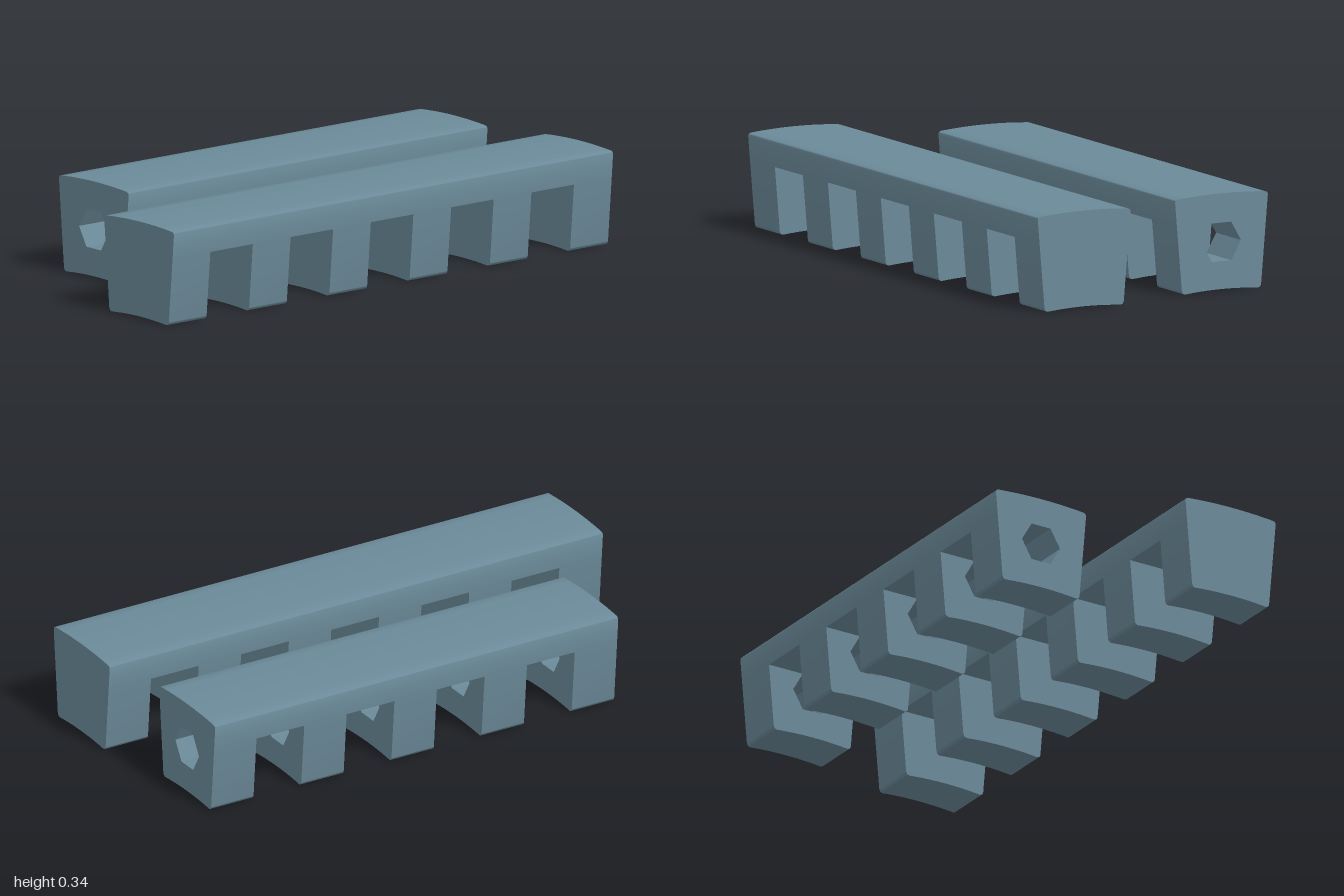
import * as THREE from 'three';
import { toCreasedNormals } from 'three/addons/utils/BufferGeometryUtils.js';

const TOOTH = 0.172, PITCH = 0.3655, SPLIT = 0.24; // tooth length, spacing, notch ceiling height
const SPLIT_W = 0.178;                             // half width of the bar at the notch ceiling

// Upper part of the bar section: crowned top with rounded corners
function beamShape() {
  const s = new THREE.Shape();
  s.moveTo(-SPLIT_W, SPLIT);
  s.lineTo(SPLIT_W, SPLIT);
  s.lineTo(0.185, 0.322);
  s.quadraticCurveTo(0.186, 0.334, 0.173, 0.3355);
  s.quadraticCurveTo(0, 0.3505, -0.173, 0.3355);
  s.quadraticCurveTo(-0.186, 0.334, -0.185, 0.322);
  s.closePath();
  return s;
}

// Lower part of the section: hollowed bottom, optionally with a hexagonal bore
// whose flat top lies on the notch ceiling
function toothShape(bored) {
  const s = new THREE.Shape();
  s.moveTo(-SPLIT_W, SPLIT);
  s.lineTo(-0.1585, 0.014);
  s.quadraticCurveTo(-0.157, 0.001, -0.145, 0);
  s.quadraticCurveTo(0, 0.014, 0.145, 0);
  s.quadraticCurveTo(0.157, 0.001, 0.1585, 0.014);
  s.lineTo(SPLIT_W, SPLIT);
  if (bored) {
    const r = 0.078, h = r * Math.sqrt(3) / 2;
    s.lineTo(r / 2, SPLIT);
    s.lineTo(r, SPLIT - h);
    s.lineTo(r / 2, SPLIT - 2 * h);
    s.lineTo(-r / 2, SPLIT - 2 * h);
    s.lineTo(-r, SPLIT - h);
    s.lineTo(-r / 2, SPLIT);
  }
  s.closePath();
  return s;
}

function prism(shape, length) {
  const g = new THREE.ExtrudeGeometry(shape, { depth: length, bevelEnabled: false, curveSegments: 10 });
  return toCreasedNormals(g, 0.6);
}

// A beam carrying evenly spaced teeth, starting at zBack
function notchedBar(name, notches, bored, x, zBack, material) {
  const bar = new THREE.Group();
  bar.name = name;
  const beam = new THREE.Mesh(prism(beamShape(), notches * PITCH + TOOTH), material);
  beam.name = 'beam';
  bar.add(beam);
  const toothGeometry = prism(toothShape(bored), TOOTH);
  for (let i = 0; i <= notches; i++) {
    const tooth = new THREE.Mesh(toothGeometry, material);
    tooth.name = 'tooth';
    tooth.position.z = i * PITCH;
    bar.add(tooth);
  }
  bar.position.set(x, 0, zBack);
  return bar;
}

export function createModel() {
  const model = new THREE.Group();
  model.name = 'notchedBars';
  const slate = new THREE.MeshStandardMaterial({ color: 0x6b8a99 });
  slate.name = 'slateBlue';
  model.add(notchedBar('longSolidBar', 5, false, 0.294, -1, slate));
  model.add(notchedBar('shortBoredBar', 4, true, -0.294, -0.932, slate));
  return model;
}
